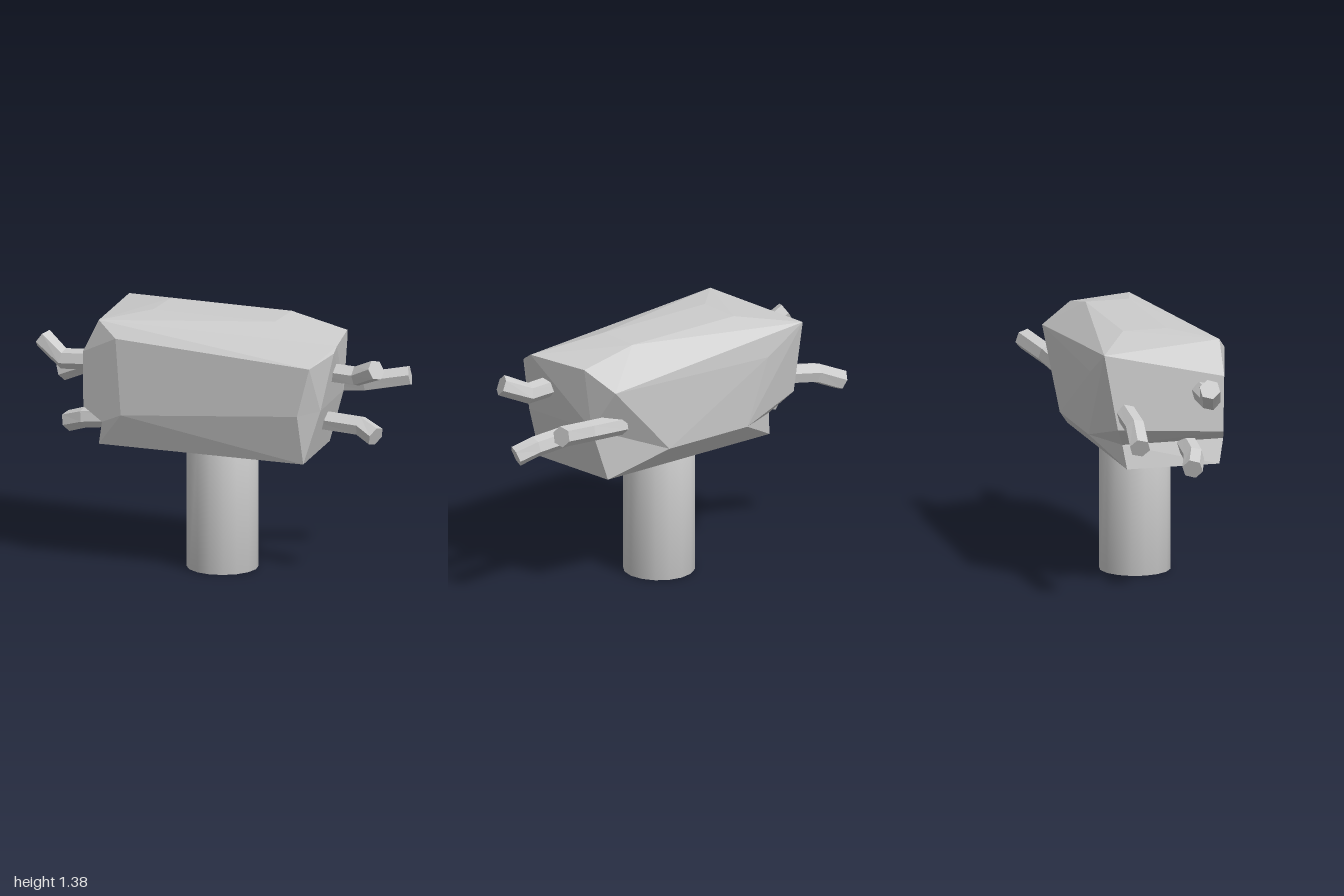
import * as THREE from 'three';
import { ConvexGeometry } from 'three/addons/geometries/ConvexGeometry.js';
import { mergeVertices } from 'three/addons/utils/BufferGeometryUtils.js';

const flat = new THREE.MeshStandardMaterial({ color: 0xcccccc, flatShading: true });
const smooth = new THREE.MeshStandardMaterial({ color: 0xcccccc });

const vec = (p) => new THREE.Vector3(...p);

function addMesh(parent, name, geometry, material) {
  const mesh = new THREE.Mesh(geometry, material);
  mesh.name = name;
  parent.add(mesh);
  return mesh;
}

// Six-sided rod swept along a bent path, capped at both ends
function bentRod(points, radius = 0.056, sides = 6) {
  const path = points.map(vec);
  const positions = [];
  const index = [];
  path.forEach((p, i) => {
    const before = path[Math.max(i - 1, 0)];
    const after = path[Math.min(i + 1, path.length - 1)];
    const along = after.clone().sub(before).normalize();
    const side = along.clone().cross(new THREE.Vector3(0, 1, 0)).normalize();
    const up = side.clone().cross(along);
    for (let k = 0; k < sides; k++) {
      const a = (k / sides) * Math.PI * 2 + 0.25;
      const v = p.clone().addScaledVector(side, Math.cos(a) * radius).addScaledVector(up, Math.sin(a) * radius);
      positions.push(v.x, v.y, v.z);
    }
  });
  for (let i = 0; i < path.length - 1; i++) {
    for (let k = 0; k < sides; k++) {
      const a = i * sides + k;
      const b = i * sides + ((k + 1) % sides);
      index.push(a, a + sides, b, b, a + sides, b + sides);
    }
  }
  const last = (path.length - 1) * sides;
  for (let k = 1; k < sides - 1; k++) {
    index.push(0, k, k + 1, last, last + k + 1, last + k);
  }
  const geometry = new THREE.BufferGeometry();
  geometry.setAttribute('position', new THREE.Float32BufferAttribute(positions, 3));
  geometry.setIndex(index);
  geometry.computeVertexNormals();
  return geometry;
}

export function createModel() {
  const model = new THREE.Group();
  model.name = 'choppedBlockOnPost';

  // Smooth post, with caps blended into the side
  const postShape = new THREE.CylinderGeometry(0.19, 0.19, 0.72, 16);
  postShape.deleteAttribute('normal');
  postShape.deleteAttribute('uv');
  const postGeometry = mergeVertices(postShape);
  postGeometry.computeVertexNormals();
  addMesh(model, 'post', postGeometry, smooth).position.set(0.037, 0.36, 0.015);

  // Corners shared by the upper and lower parts of the block
  const waist = [
    [-0.4, 0.865, 0.37], [0.6, 0.955, 0.37],
    [0.7, 0.975, 0.285], [0.65, 0.975, -0.175],
    [0.25, 0.82, -0.335], [-0.28, 0.82, -0.335],
    [-0.52, 0.81, 0.335], [-0.52, 0.81, -0.22],
  ];

  // Upper block: chamfered top, front face and ends
  const upper = [
    [-0.33, 1.38, 0.08], [0.36, 1.38, 0.08], [0.36, 1.38, -0.16], [-0.33, 1.38, -0.16],
    [-0.64, 1.33, -0.355], [-0.55, 1.355, 0.305], [-0.43, 1.28, 0.37],
    [0.67, 1.22, 0.37], [0.76, 1.285, 0.245], [0.76, 1.315, 0.2],
    [0.68, 1.31, -0.15], [0.61, 1.21, -0.325],
    [-0.64, 1.175, 0.305], [-0.64, 0.875, 0.3],
    [-0.64, 0.92, -0.28], [-0.4, 1.19, -0.36],
  ];
  addMesh(model, 'upperBlock', new ConvexGeometry([...upper, ...waist].map(vec)), flat);

  // Lower block: tapers in to a flat underside
  const base = [
    [-0.55, 0.68, 0.305], [0.61, 0.68, 0.305], [0.56, 0.68, -0.2], [-0.54, 0.68, -0.2],
  ];
  addMesh(model, 'lowerBlock', new ConvexGeometry([...base, ...waist].map(vec)), flat);

  // Bent rods sticking out of both ends
  const rods = {
    leftUpperRod: [[0.6, 1.15, 0.12], [0.84, 1.14, 0.12], [0.975, 1.2, 0.18]],
    leftBackRod: [[0.5, 0.99, -0.24], [0.74, 1.01, -0.255], [0.97, 1.05, -0.315]],
    leftLowerRod: [[0.55, 0.87, 0.065], [0.84, 0.855, 0.065], [0.94, 0.815, 0.1]],
    rightUpperRod: [[-0.5, 1.11, 0.18], [-0.8, 1.09, 0.18], [-0.93, 1.18, 0.14]],
    rightBackRod: [[-0.5, 1.03, -0.23], [-0.82, 0.97, -0.235], [-0.98, 0.9, -0.26]],
    rightLowerRod: [[-0.45, 0.8, 0.14], [-0.7, 0.765, 0.12], [-0.81, 0.725, 0.08]],
  };
  for (const [name, path] of Object.entries(rods)) addMesh(model, name, bentRod(path), flat);

  return model;
}
